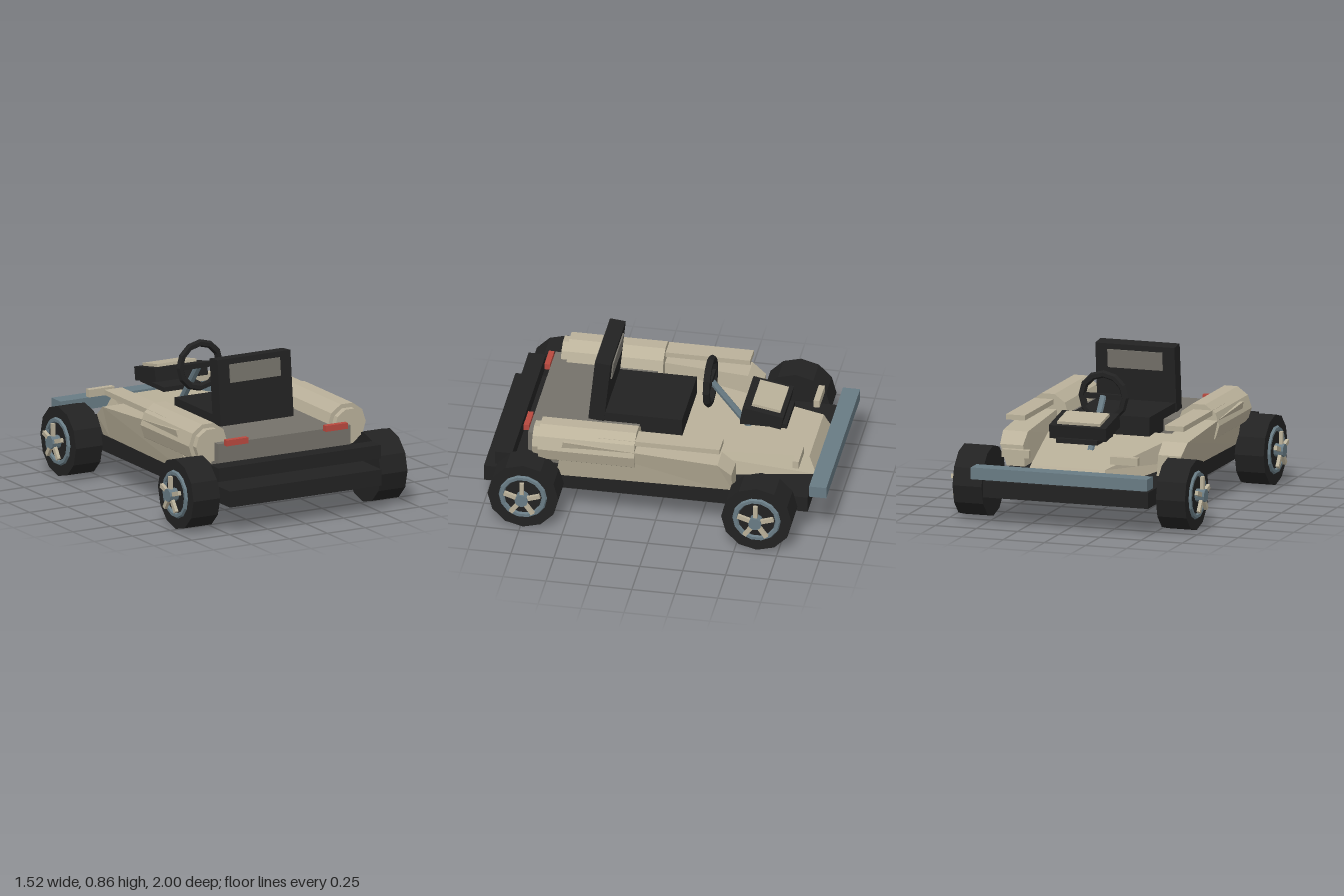
import * as THREE from 'three';

const mat = (name, color) => Object.assign(new THREE.MeshStandardMaterial({ color }), { name });

export function createModel() {
  const kart = new THREE.Group();
  kart.name = 'kart';
  const beige = mat('beige', 0xbab19a);
  const grey = mat('warm grey', 0x75726a);
  const black = mat('black', 0x222222);
  const blue = mat('steel blue', 0x687b84);
  const red = mat('red', 0xb8493f);

  // Adds a faceted mesh
  function add(name, geo, material, pos = [0, 0, 0], parent = kart) {
    const flat = geo.index ? geo.toNonIndexed() : geo;
    flat.computeVertexNormals();
    const mesh = new THREE.Mesh(flat, material);
    mesh.name = name;
    mesh.position.set(...pos);
    parent.add(mesh);
    return mesh;
  }

  // Box given by its ranges on each axis
  function box(name, material, [x0, x1], [y0, y1], [z0, z1], parent = kart) {
    return add(name, new THREE.BoxGeometry(x1 - x0, y1 - y0, z1 - z0), material,
      [(x0 + x1) / 2, (y0 + y1) / 2, (z0 + z1) / 2], parent);
  }

  // Cylinder lying along x or z
  function rod(name, material, radius, length, sides, axis, pos, parent = kart) {
    const geo = new THREE.CylinderGeometry(radius, radius, length, sides);
    if (axis === 'x') geo.rotateZ(Math.PI / 2);
    else geo.rotateY(Math.PI / 2).rotateX(Math.PI / 2);
    return add(name, geo, material, pos, parent);
  }

  // Solid through four-cornered sections, counter-clockwise seen from +z, z ascending
  function loft(sections, side = 1) {
    const loops = sections.map(s => {
      const pts = s.map(([x, y, z]) => [x * side, y, z]);
      return side < 0 ? pts.reverse() : pts;
    });
    const index = [0, 2, 1, 0, 3, 2];
    for (let i = 0; i < loops.length - 1; i++) {
      for (let j = 0; j < 4; j++) {
        const a = i * 4 + j, b = i * 4 + (j + 1) % 4;
        index.push(a, b, b + 4, a, b + 4, a + 4);
      }
    }
    const e = (loops.length - 1) * 4;
    index.push(e, e + 1, e + 2, e, e + 2, e + 3);
    const geo = new THREE.BufferGeometry();
    geo.setAttribute('position', new THREE.Float32BufferAttribute(loops.flat(2), 3));
    geo.setIndex(index);
    return geo;
  }

  // Chassis and bumpers
  box('floorPan', black, [-0.5, 0.5], [0.16, 0.255], [-0.885, 1]);
  box('blackBumper', black, [-0.535, 0.535], [0.3, 0.38], [0.83, 0.93]);
  box('blueBumper', blue, [-0.535, 0.535], [0.286, 0.355], [-1, -0.9]);
  box('engineDeck', grey, [-0.435, 0.435], [0.28, 0.47], [0.14, 0.755]);

  // Tapered nose
  add('nose', loft([
    [[-0.255, 0.262, -0.89], [0.255, 0.262, -0.89], [0.225, 0.36, -0.845], [-0.225, 0.36, -0.845]],
    [[-0.43, 0.262, 0.03], [0.43, 0.262, 0.03], [0.39, 0.42, -0.015], [-0.39, 0.42, -0.015]],
  ]), beige);

  // Parts repeated on both sides
  for (const s of [1, -1]) {
    const span = (a, b) => (s > 0 ? [a, b] : [-b, -a]);
    add('sidePod', loft([
      [[0.4, 0.262, -0.45], [0.51, 0.262, -0.45], [0.55, 0.385, -0.45], [0.41, 0.385, -0.45]],
      [[0.4, 0.262, -0.37], [0.51, 0.262, -0.37], [0.56, 0.45, -0.37], [0.41, 0.45, -0.37]],
      [[0.38, 0.262, 0.575], [0.53, 0.262, 0.575], [0.585, 0.52, 0.525], [0.4, 0.52, 0.525]],
    ], s), beige);
    box('sideRail', beige, span(0.425, 0.54), [0.515, 0.545], [-0.38, 0.325]);
    rod('podCowl', beige, 0.126, 0.56, 10, 'z', [0.457 * s, 0.456, 0.392]);
    rod('cowlCap', beige, 0.1, 0.05, 10, 'z', [0.457 * s, 0.456, 0.685]);
    box('noseLamp', beige, span(0.245, 0.413), [0.39, 0.435], [-0.817, -0.782]);
    box('redLamp', red, span(0.255, 0.4), [0.46, 0.495], [0.755, 0.787]);
  }

  // Wheels with rims, spokes and hubs
  for (const z of [0.735, -0.625]) {
    rod('axle', blue, 0.026, 1.44, 8, 'x', [0, 0.206, z]);
    for (const s of [1, -1]) {
      const wheel = new THREE.Group();
      wheel.name = 'wheel';
      wheel.position.set(0, 0.206, z);
      kart.add(wheel);
      rod('tyre', black, 0.206, 0.176, 12, 'x', [0.617 * s, 0, 0], wheel);
      add('rim', new THREE.TorusGeometry(0.125, 0.018, 6, 14).rotateY(Math.PI / 2), blue,
        [0.702 * s, 0, 0], wheel);
      rod('hub', blue, 0.038, 0.07, 10, 'x', [0.727 * s, 0, 0], wheel);
      for (let i = 0; i < 5; i++) {
        const spoke = new THREE.BoxGeometry(0.02, 0.085, 0.025)
          .translate(0, 0.067, 0).rotateX(i * Math.PI * 2 / 5);
        add('spoke', spoke, beige, [0.74 * s, 0, 0], wheel);
      }
    }
  }

  // Seat
  box('seatCushion', black, [-0.235, 0.235], [0.4, 0.525], [-0.105, 0.36]);
  const back = new THREE.Group();
  back.name = 'seatBack';
  back.position.set(0, 0.664, 0.375);
  back.rotation.x = -0.1;
  kart.add(back);
  add('backrest', new THREE.BoxGeometry(0.48, 0.385, 0.092), black, [0, 0, 0], back);
  add('headPad', new THREE.BoxGeometry(0.332, 0.107, 0.108), grey, [0, 0.106, 0], back);

  // Steering
  add('steeringWheel', new THREE.TorusGeometry(0.131, 0.022, 6, 12), black, [0, 0.657, -0.227]);
  box('steeringBar', black, [-0.125, 0.125], [0.642, 0.672], [-0.24, -0.214]);
  const top = new THREE.Vector3(0, 0.657, -0.235), foot = new THREE.Vector3(0, 0.38, -0.455);
  add('steeringColumn', new THREE.TubeGeometry(new THREE.LineCurve3(foot, top), 1, 0.02, 8), blue);

  // Tilted console over the nose
  box('consolePlate', black, [-0.125, 0.125], [0.468, 0.495], [-0.695, -0.422]);
  const console_ = new THREE.Group();
  console_.name = 'console';
  console_.position.set(0, 0.548, -0.557);
  console_.rotation.x = -0.18;
  kart.add(console_);
  add('consoleCase', new THREE.BoxGeometry(0.345, 0.08, 0.24), black, [0, 0, 0], console_);
  add('consolePad', new THREE.BoxGeometry(0.26, 0.02, 0.17), beige, [0, 0.047, -0.01], console_);

  return kart;
}
